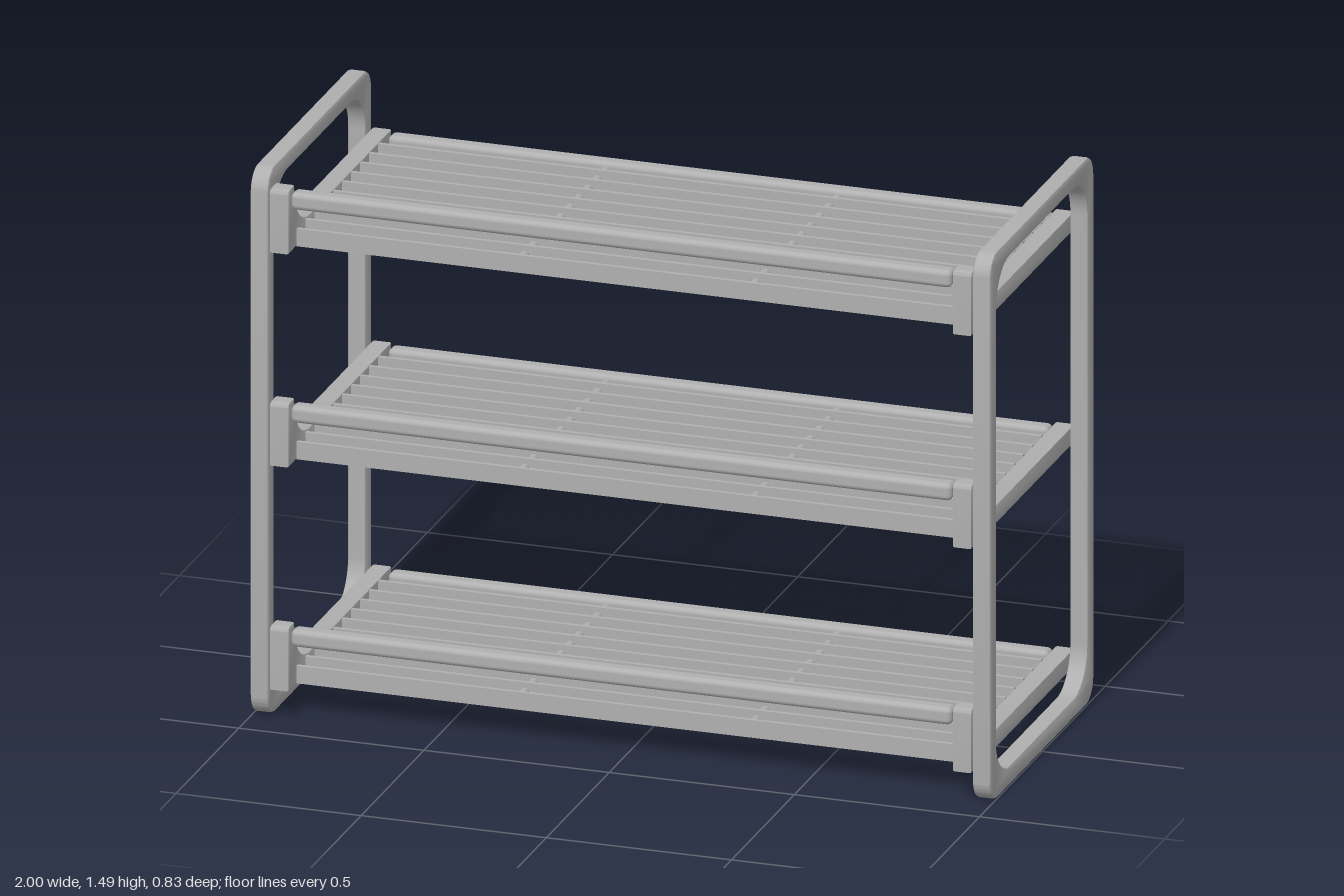
import * as THREE from 'three';
import { toCreasedNormals } from 'three/addons/utils/BufferGeometryUtils.js';
import { RoundedBoxGeometry } from 'three/addons/geometries/RoundedBoxGeometry.js';

const grey = new THREE.MeshStandardMaterial({ color: 0xb0b0b0 });
grey.name = 'grey plastic';

// Rounded rectangle outline; drawn in the (z, y) plane
function roundedRect(path, z0, y0, z1, y1, r) {
  path.moveTo(z0 + r, y0);
  path.lineTo(z1 - r, y0);
  path.absarc(z1 - r, y0 + r, r, -Math.PI / 2, 0);
  path.lineTo(z1, y1 - r);
  path.absarc(z1 - r, y1 - r, r, 0, Math.PI / 2);
  path.lineTo(z0 + r, y1);
  path.absarc(z0 + r, y1 - r, r, Math.PI / 2, Math.PI);
  path.lineTo(z0, y0 + r);
  path.absarc(z0 + r, y0 + r, r, Math.PI, Math.PI * 1.5);
  return path;
}

// Extrude a (z, y) profile along x, centred on x = 0, with softened edges
function extrudeX(shape, width, bevel) {
  const geo = new THREE.ExtrudeGeometry(shape, {
    depth: width - 2 * bevel, curveSegments: 8,
    bevelEnabled: true, bevelThickness: bevel, bevelSize: bevel,
    bevelOffset: -bevel, bevelSegments: 2,
  });
  geo.translate(0, 0, -(width - 2 * bevel) / 2);
  geo.rotateY(-Math.PI / 2);
  return toCreasedNormals(geo, 0.7);
}

function add(parent, geo, name, x = 0, y = 0, z = 0) {
  const mesh = new THREE.Mesh(geo, grey);
  mesh.name = name;
  mesh.position.set(x, y, z);
  parent.add(mesh);
  return mesh;
}

// Open end frame with rounded corners
function frameGeometry() {
  const shape = roundedRect(new THREE.Shape(), -0.413, 0, 0.413, 1.493, 0.06);
  shape.holes.push(roundedRect(new THREE.Path(), -0.362, 0.052, 0.362, 1.445, 0.11));
  return extrudeX(shape, 0.05, 0.008);
}

// Shelf end bracket: a low rail that sweeps up at the front
function bracketGeometry() {
  const s = new THREE.Shape();
  s.moveTo(-0.41, 0);
  s.lineTo(0.41, 0);
  s.lineTo(0.41, 0.16);
  s.quadraticCurveTo(0.41, 0.173, 0.397, 0.173);
  s.lineTo(0.362, 0.173);
  s.bezierCurveTo(0.355, 0.1, 0.32, 0.06, 0.25, 0.05);
  s.lineTo(-0.41, 0.05);
  s.closePath();
  return extrudeX(s, 0.052, 0.005);
}

export function createModel() {
  const model = new THREE.Group();
  model.name = 'shoeRack';

  const frame = frameGeometry();
  const bracket = bracketGeometry();
  const rail = new RoundedBoxGeometry(1.784, 0.047, 0.047, 3, 0.014);
  const slat = new THREE.BoxGeometry(1.79, 0.048, 0.011);
  const rod = new THREE.CylinderGeometry(0.0125, 0.0125, 0.71, 12).rotateX(Math.PI / 2);

  for (const side of [-1, 1]) {
    add(model, frame, side > 0 ? 'leftFrame' : 'rightFrame', side * 0.975);
  }

  // Three identical shelves
  [0.08, 0.692, 1.274].forEach((y, i) => {
    const shelf = new THREE.Group();
    shelf.name = 'shelf' + (i + 1);
    shelf.position.y = y;
    model.add(shelf);

    for (const side of [-1, 1]) {
      add(shelf, bracket, side > 0 ? 'leftBracket' : 'rightBracket', side * 0.922);
    }
    add(shelf, rail, 'frontRail', 0, 0.145, 0.386);
    add(shelf, rail, 'backRail', 0, 0.025, -0.387);

    // Thin upright slats
    for (let k = 0; k < 10; k++) {
      add(shelf, slat, 'slat', 0, 0.026, -0.305 + k * 0.0722);
    }
    // Cross rods tying the slats together
    for (const x of [-0.303, 0.322]) add(shelf, rod, 'crossRod', x, 0.024, -0.015);
  });

  return model;
}
